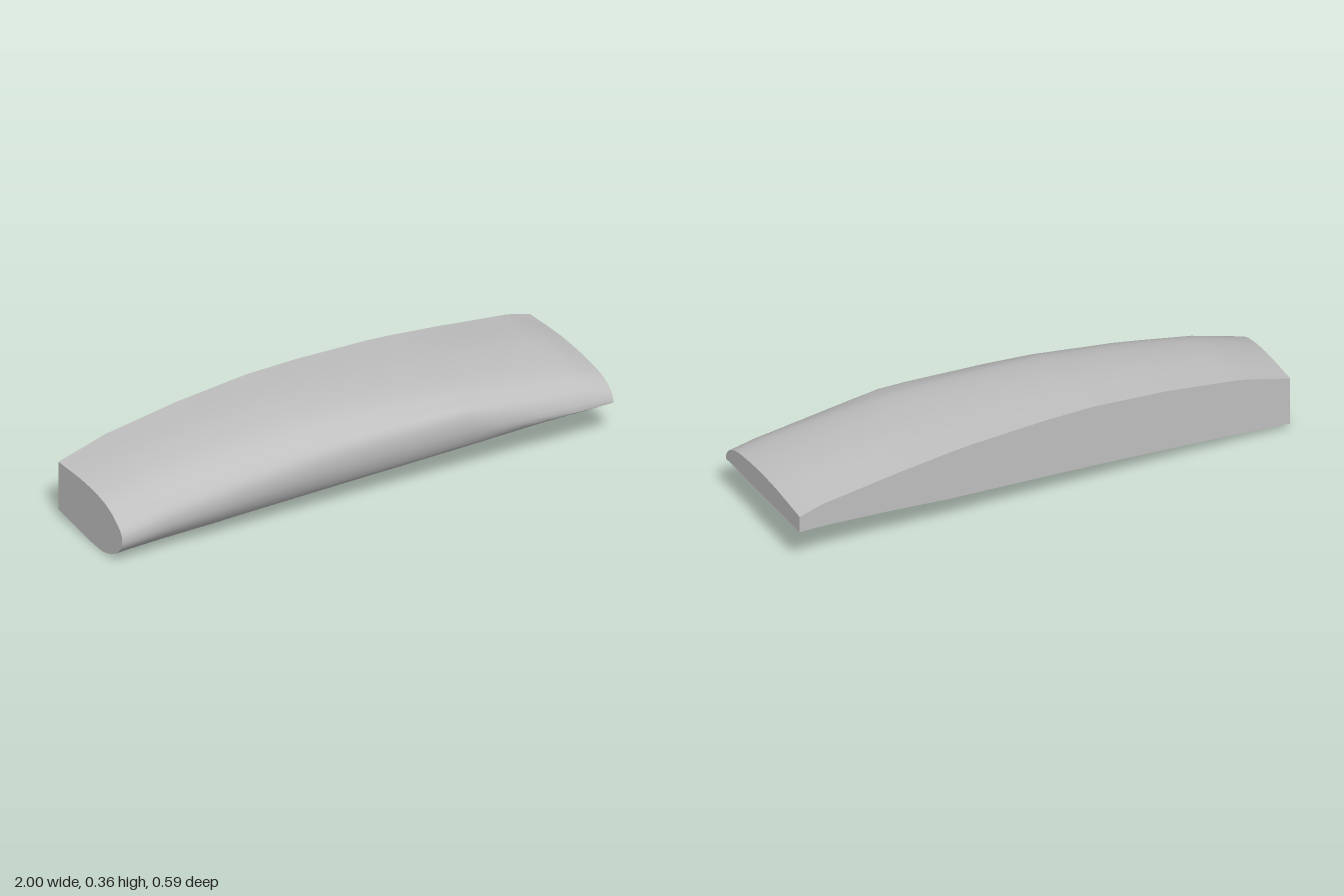
import * as THREE from 'three';
import { toCreasedNormals } from 'three/addons/utils/BufferGeometryUtils.js';

// Linear lookup in a list of [x, value] pairs
function lookup(table, x) {
  let i = 0;
  while (i < table.length - 2 && x > table[i + 1][0]) i++;
  const [x0, v0] = table[i], [x1, v1] = table[i + 1];
  return v0 + (v1 - v0) * (x - x0) / (x1 - x0);
}

// Crown height and front edge along the length
const crown = [[-1, 0.23], [-0.8, 0.288], [-0.5, 0.334], [-0.2, 0.361], [0, 0.362], [0.3, 0.35],
  [0.6, 0.325], [0.9, 0.288], [1, 0.256]];
const frontEdge = [[-1, 0.143], [-0.6, 0.19], [-0.2, 0.225], [0.2, 0.257], [0.5, 0.28], [0.75, 0.291], [1, 0.293]];

// Relative cross-sections: back bottom, round the front, to back top
const sections = [
  { x: -1, pts: [[0, 0.12], [0.67, 0], [0.79, 0.05], [0.9, 0.15], [1, 0.35], [1, 0.57], [0.88, 0.78], [0.73, 0.91], [0.44, 0.99], [0, 0.98]] },
  { x: 0.4, pts: [[0, 0.1], [0.8, 0], [0.9, 0.02], [0.95, 0.1], [1, 0.42], [0.98, 0.75], [0.88, 0.87], [0.76, 0.95], [0.42, 1], [0, 0.96]] },
  { x: 1, pts: [[0, 0.2], [0.7, 0.05], [0.85, 0.02], [0.95, 0], [1, 0], [0.97, 0.4], [0.89, 0.7], [0.75, 0.88], [0.4, 1], [0, 0.86]] },
];
const AROUND = 36, ALONG = 40;

function ring(x) {
  const s = x < sections[1].x ? 0 : 1;
  const a = sections[s], b = sections[s + 1];
  const t = (x - a.x) / (b.x - a.x);
  const bottom = 0.0775 * (x + 1), top = lookup(crown, x);
  const back = -0.288 + 0.005 * x, front = lookup(frontEdge, x);
  const curve = new THREE.CatmullRomCurve3(a.pts.map(([u, v], k) => new THREE.Vector3(
    x,
    THREE.MathUtils.lerp(bottom, top, THREE.MathUtils.lerp(v, b.pts[k][1], t)),
    THREE.MathUtils.lerp(back, front, THREE.MathUtils.lerp(u, b.pts[k][0], t)))));
  return curve.getPoints(AROUND);
}

function bodyGeometry() {
  const pos = [], index = [], n = AROUND + 1;
  for (let i = 0; i <= ALONG; i++) {
    for (const p of ring(-1 + 2 * i / ALONG)) pos.push(p.x, Math.max(0, p.y), p.z);
  }
  // Skin, with the last strip closing the flat back
  for (let i = 0; i < ALONG; i++) {
    for (let j = 0; j < n; j++) {
      const k = (j + 1) % n, r = i * n, q = r + n;
      index.push(r + j, q + j, r + k, q + j, q + k, r + k);
    }
  }
  // Flat ends
  const c = pos.length / 3, last = ALONG * n;
  pos.push(-1, 0.11, -0.08, 1, 0.2, 0);
  for (let j = 0; j < n; j++) {
    const k = (j + 1) % n;
    index.push(c, j, k, c + 1, last + k, last + j);
  }
  const g = new THREE.BufferGeometry();
  g.setAttribute('position', new THREE.Float32BufferAttribute(pos, 3));
  g.setIndex(index);
  return toCreasedNormals(g, 0.6);
}

export function createModel() {
  const group = new THREE.Group();
  const grey = new THREE.MeshStandardMaterial({ color: 0xbfbfbf });
  grey.name = 'light grey';
  const body = new THREE.Mesh(bodyGeometry(), grey);
  body.name = 'curvedBody';
  group.add(body);
  return group;
}
